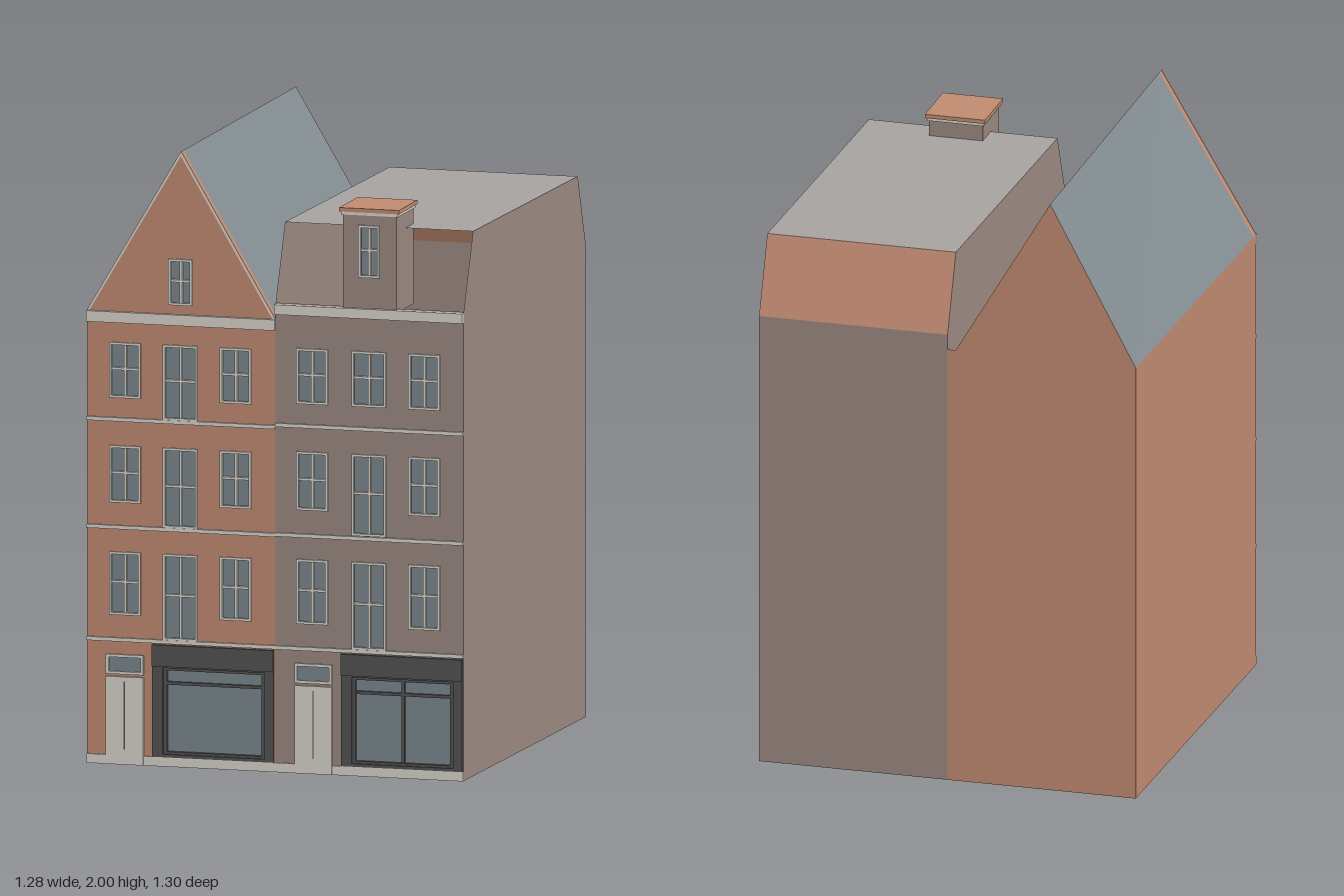
import * as THREE from 'three';

const mat = (name, color) => {
  const m = new THREE.MeshStandardMaterial({ color, side: THREE.DoubleSide });
  m.name = name;
  return m;
};

export function createModel() {
  const M = {
    orange: mat('orange brick', 0xc08a70),
    brown: mat('brown brick', 0x9a8880),
    slate: mat('slate roof', 0x838d92),
    flat: mat('grey flat roof', 0xa5a2a0),
    cream: mat('cream trim', 0xd6d3ca),
    glass: mat('window glass', 0x7a868c),
    charcoal: mat('charcoal shopfront', 0x525252),
  };
  const root = new THREE.Group();
  root.name = 'townhouses';
  const F = 0.64, WALL = 0.025, BACK = -0.65; // facade plane, wall thickness, rear plane

  const add = (parent, name, geo, material) => {
    const m = new THREE.Mesh(geo, material);
    m.name = name;
    parent.add(m);
    return m;
  };
  const group = (parent, name) => {
    const g = new THREE.Group();
    g.name = name;
    parent.add(g);
    return g;
  };
  // Box given by its limits
  const box = (parent, name, material, x0, x1, y0, y1, z0, z1) => {
    const m = add(parent, name, new THREE.BoxGeometry(x1 - x0, y1 - y0, z1 - z0), material);
    m.position.set((x0 + x1) / 2, (y0 + y1) / 2, (z0 + z1) / 2);
    return m;
  };
  // Flat convex face, corners anticlockwise from outside
  const face = (parent, name, material, pts) => {
    const pos = [];
    for (let i = 1; i < pts.length - 1; i++) pos.push(...pts[0], ...pts[i], ...pts[i + 1]);
    const g = new THREE.BufferGeometry();
    g.setAttribute('position', new THREE.Float32BufferAttribute(pos, 3));
    g.computeVertexNormals();
    return add(parent, name, g, material);
  };
  const rectPath = ([x0, x1, y0, y1]) => new THREE.Path([
    [x0, y0], [x0, y1], [x1, y1], [x1, y0]].map(p => new THREE.Vector2(...p)));
  // Wall panel with openings
  const panel = (parent, name, material, outline, holes, z0, z1) => {
    const s = new THREE.Shape(outline.map(p => new THREE.Vector2(...p)));
    s.holes = holes.map(rectPath);
    const m = add(parent, name, new THREE.ExtrudeGeometry(s, { depth: z1 - z0, bevelEnabled: false }), material);
    m.position.z = z0;
    return m;
  };
  const rectOutline = (x0, x1, y0, y1) => [[x0, y0], [x1, y0], [x1, y1], [x0, y1]];

  // Casement window: frame, cross bars and recessed glass
  const sash = (parent, [x0, x1, y0, y1], z = F) => {
    const g = group(parent, 'window');
    const t = 0.008, b = 0.004, cx = (x0 + x1) / 2, cy = y1 - (y1 - y0) * 0.48;
    panel(g, 'windowFrame', M.cream, rectOutline(x0, x1, y0, y1),
      [[x0 + t, x1 - t, y0 + t, y1 - t]], z - 0.004, z + 0.006);
    box(g, 'windowGlass', M.glass, x0, x1, y0, y1, z - 0.02, z - 0.012);
    box(g, 'mullion', M.cream, cx - b, cx + b, y0, y1, z - 0.012, z);
    box(g, 'glazingBar', M.cream, x0, x1, cy - b, cy + b, z - 0.012, z);
  };

  // Double door with glazed transom
  const door = (parent, x0, x1) => {
    const g = group(parent, 'door');
    const cx = (x0 + x1) / 2;
    box(g, 'doorLeaves', M.cream, x0, x1, 0, 0.285, F - 0.01, F + 0.008);
    box(g, 'doorJoint', M.charcoal, cx - 0.002, cx + 0.002, 0.05, 0.27, F + 0.006, F + 0.009);
    panel(g, 'transomFrame', M.cream, rectOutline(x0, x1, 0.293, 0.357),
      [[x0 + 0.009, x1 - 0.009, 0.302, 0.348]], F, F + 0.008);
    box(g, 'transomGlass', M.glass, x0, x1, 0.295, 0.355, F, F + 0.003);
  };

  // Shopfront: dark surround, fascia and large glazing
  const shop = (parent, x0, x1, [a, b, c, d], split) => {
    const g = group(parent, 'shopfront');
    panel(g, 'shopSurround', M.charcoal, rectOutline(x0, x1, 0.03, 0.33), [[a, b, c, d]], F, F + 0.006);
    box(g, 'fascia', M.charcoal, x0, x1, 0.325, 0.395, F, F + 0.012);
    box(g, 'shopGlass', M.glass, a, b, c, d, F - 0.022, F - 0.014);
    panel(g, 'shopFrame', M.charcoal, rectOutline(a, b, c, d),
      [[a + 0.012, b - 0.012, c + 0.008, d - 0.008]], F - 0.014, F);
    box(g, 'shopTransom', M.charcoal, a, b, 0.265, 0.275, F - 0.014, F - 0.004);
    if (split) box(g, 'shopMullion', M.charcoal, (a + b) / 2 - 0.005, (a + b) / 2 + 0.005, c, d, F - 0.014, F - 0.004);
  };

  // Three storeys of windows, the middle one reaching lower
  const grid = (cols, rows) => rows.flatMap(([y0, y1, mid]) =>
    cols.map(([x0, x1], i) => [x0, x1, i === 1 ? mid : y0, y1]));

  // ---- Left house with the pointed gable ----
  const A = group(root, 'gabledHouse');
  const L0 = -0.645, L1 = -0.615, P0 = -0.015, P1 = 0.012, RX = -0.33, EA = 1.47;
  const winA = grid([[-0.57, -0.465], [-0.39, -0.275], [-0.2, -0.095]],
    [[0.485, 0.69, 0.41], [0.85, 1.035, 0.775], [1.19, 1.37, 1.125]]);
  winA.push([-0.372, -0.292, 1.5, 1.65]);
  const shopA = [-0.39, -0.05, 0.04, 0.32];
  panel(A, 'gableFacade', M.orange, [[L0, 0], [P0, 0], [P0, EA], [RX, 2], [L0, EA]],
    [...winA, shopA], F - WALL, F);
  winA.forEach(w => sash(A, w));
  door(A, -0.58, -0.455);
  shop(A, -0.425, -0.02, shopA, false);
  face(A, 'sideWall', M.orange, [[L1, 0, BACK], [L0, 0, F - WALL], [L0, EA, F - WALL], [L1, EA, BACK]]);
  face(A, 'rearWall', M.orange, [[P1, 0, BACK], [L1, 0, BACK], [L1, EA, BACK], [P1, EA, BACK]]);
  face(A, 'rearGable', M.orange, [[P0, EA, BACK], [L1, EA, BACK], [RX, 2, BACK]]);
  face(A, 'floor', M.orange, [[L0, 0, F], [L1, 0, BACK], [P1, 0, BACK], [P0, 0, F]]);
  face(A, 'roofSlopeOuter', M.slate, [[L1, EA, BACK], [L0, EA, F - WALL], [RX, 2, F - WALL], [RX, 2, BACK]]);
  face(A, 'roofSlopeInner', M.slate, [[P0, EA, F - WALL], [P0, EA, BACK], [RX, 2, BACK], [RX, 2, F - WALL]]);
  // Pale edging along the gable
  for (const x of [L0, P0]) {
    const s = Math.sign(RX - x) * 0.009;
    face(A, 'gableEdging', M.cream, [[x, EA, F + 0.004], [x + s, EA, F + 0.004],
      [RX, 1.985, F + 0.004], [RX, 2, F + 0.004]]);
  }
  box(A, 'cornice', M.cream, L0, P0, 1.435, EA, F, F + 0.013);
  box(A, 'plinth', M.cream, L0, P0, 0, 0.03, F, F + 0.006);
  for (const y of [0.405, 0.77, 1.12]) box(A, 'stringCourse', M.cream, L0, P0, y - 0.006, y + 0.006, F, F + 0.008);

  // ---- Right house with the flat-topped roof ----
  const B = group(root, 'flatToppedHouse');
  const R0 = 0.613, R1 = 0.64, EB = 1.52, TB = 1.77, ZF = 0.54, ZB = -0.56;
  const xl = z => P0 + (P1 - P0) * (F - z) / (F - BACK); // walls run slightly askew
  const xr = z => R0 + (R1 - R0) * (F - z) / (F - BACK);
  const winB = grid([[0.055, 0.16], [0.24, 0.355], [0.43, 0.535]],
    [[0.485, 0.695, 0.41], [0.855, 1.045, 0.78], [1.2, 1.38, 1.2]]);
  const shopB = [0.24, 0.58, 0.04, 0.32];
  panel(B, 'facade', M.brown, rectOutline(P0, R0, 0, EB), [...winB, shopB], F - WALL, F);
  winB.forEach(w => sash(B, w));
  door(B, 0.05, 0.175);
  shop(B, 0.205, 0.61, shopB, true);
  const profile = [[0, F], [0, BACK], [EB, BACK], [TB, ZB], [TB, ZF], [EB, F]];
  face(B, 'outerWall', M.brown, profile.map(([y, z]) => [xr(z), y, z]));
  face(B, 'partyWall', M.brown, profile.map(([y, z]) => [xl(z), y, z]).reverse());
  face(B, 'rearWall', M.brown, [[R1, 0, BACK], [P1, 0, BACK], [P1, EB, BACK], [R1, EB, BACK]]);
  face(B, 'rearRoofSlope', M.orange, [[R1, EB, BACK], [P1, EB, BACK], [xl(ZB), TB, ZB], [xr(ZB), TB, ZB]]);
  face(B, 'flatRoof', M.flat, [[xl(ZF), TB, ZF], [xr(ZF), TB, ZF], [xr(ZB), TB, ZB], [xl(ZB), TB, ZB]]);
  face(B, 'floor', M.brown, [[P0, 0, F], [P1, 0, BACK], [R1, 0, BACK], [R0, 0, F]]);
  box(B, 'cornice', M.cream, P0, R0, 1.488, EB, F, F + 0.015);
  box(B, 'plinth', M.cream, P0, R0, 0, 0.03, F, F + 0.006);
  for (const y of [0.405, 0.772, 1.128]) box(B, 'stringCourse', M.cream, P0, R0, y - 0.006, y + 0.006, F, F + 0.008);

  // Dormer
  const D = group(B, 'dormer');
  const dw = [0.263, 0.333, 1.62, 1.79];
  panel(D, 'dormerFront', M.brown, rectOutline(0.21, 0.39, 1.51, 1.83), [dw], F - WALL, F);
  sash(D, dw);
  box(D, 'dormerBody', M.brown, 0.21, 0.39, 1.51, 1.83, 0.45, F - WALL);
  box(D, 'dormerTrim', M.cream, 0.205, 0.395, 1.822, 1.832, 0.445, F + 0.004);
  box(D, 'dormerCap', M.orange, 0.2, 0.4, 1.832, 1.845, 0.44, F + 0.008);

  return root;
}
